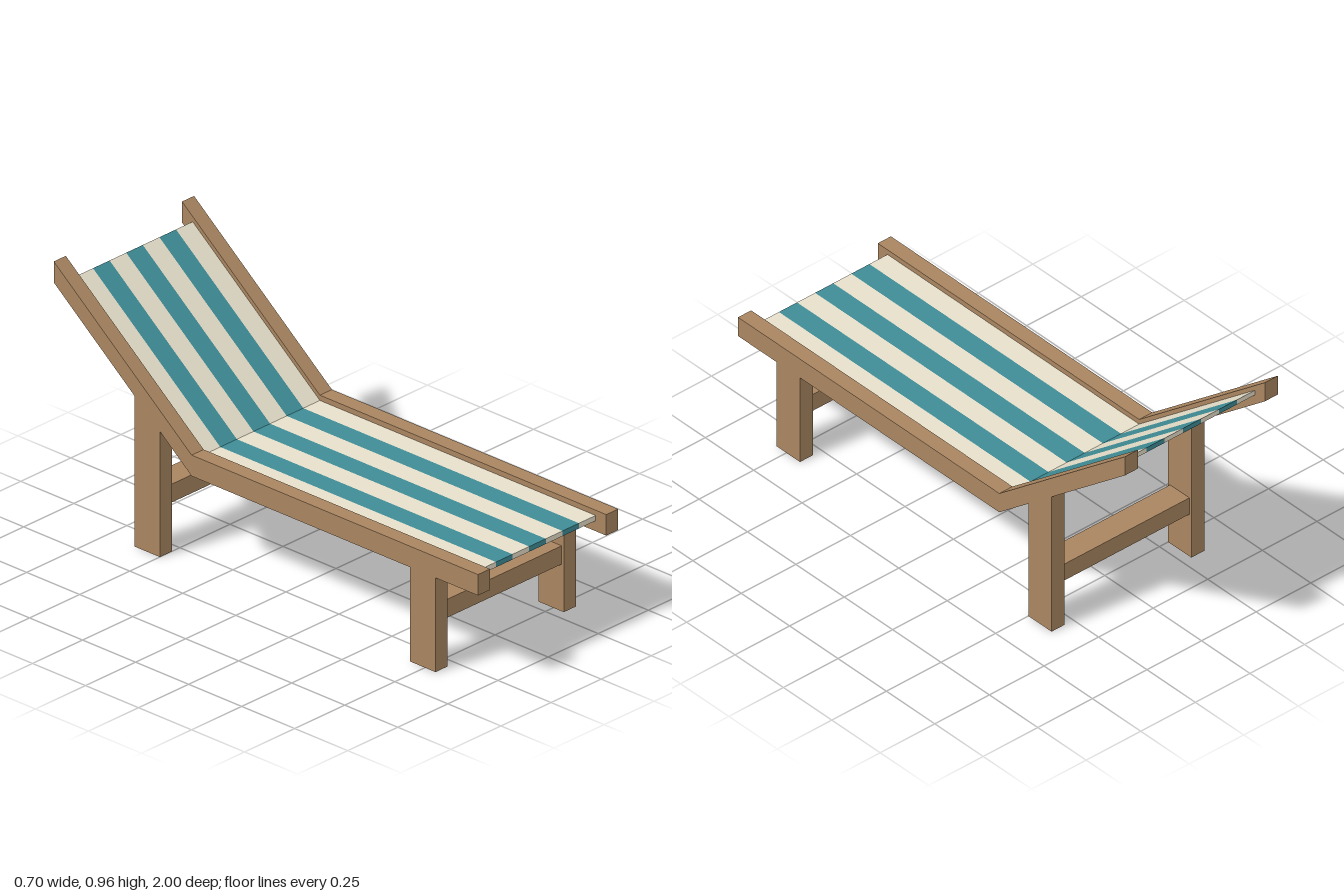
import * as THREE from 'three';

const wood = new THREE.MeshStandardMaterial({ color: 0xa98560 });
const cream = new THREE.MeshStandardMaterial({ color: 0xe6dfca });
const teal = new THREE.MeshStandardMaterial({ color: 0x3f8d97 });

const HALF_WIDTH = 0.35, RAIL = 0.06, BEND = -0.35, SLOPE = 0.8;
const rise = (z) => Math.max(0, BEND - z) * SLOPE; // height gained behind the bend

// Side outline of [z, y] points, extruded across x and centred on x
function sidePart(name, points, width, x, material) {
  const shape = new THREE.Shape(points.map(([z, y]) => new THREE.Vector2(z, y)));
  const geometry = new THREE.ExtrudeGeometry(shape, { depth: width, bevelEnabled: false });
  geometry.rotateY(-Math.PI / 2).translate(x + width / 2, 0, 0);
  const mesh = new THREE.Mesh(geometry, material);
  mesh.name = name;
  return mesh;
}

// Bent strip: flat in front of the bend, sloping up behind it
function bentOutline(front, back, low, high) {
  const zs = [front, BEND, back];
  return [
    ...zs.map((z) => [z, low + rise(z)]),
    ...zs.reverse().map((z) => [z, high + rise(z)]),
  ];
}

export function createModel() {
  const model = new THREE.Group();
  model.name = 'sunLounger';

  // Side rails and legs, mirrored left and right
  for (const [side, sign] of [['left', 1], ['right', -1]]) {
    const x = sign * (HALF_WIDTH - RAIL / 2);
    model.add(sidePart(`${side}Rail`, bentOutline(1, -1, 0.36, 0.44), RAIL, x, wood));
    for (const [end, z0, z1] of [['Front', 0.8, 0.68], ['Back', -0.5, -0.62]]) {
      const outline = [[z0, 0], [z1, 0], [z1, 0.36 + rise(z1)], [z0, 0.36 + rise(z0)]];
      model.add(sidePart(`${side}${end}Leg`, outline, RAIL, x, wood));
    }
  }

  // Crossbars between each pair of legs
  const inner = 2 * (HALF_WIDTH - RAIL);
  for (const [name, z] of [['frontCrossbar', 0.74], ['backCrossbar', -0.56]]) {
    const bar = new THREE.Mesh(new THREE.BoxGeometry(inner, 0.07, 0.1), wood);
    bar.position.set(0, 0.215, z);
    bar.name = name;
    model.add(bar);
  }

  // Striped fabric sling
  const fabric = new THREE.Group();
  fabric.name = 'fabric';
  const count = 7, stripe = inner / count;
  for (let i = 0; i < count; i++) {
    const x = (i - (count - 1) / 2) * stripe;
    fabric.add(sidePart(`stripe${i + 1}`, bentOutline(0.95, -0.95, 0.4, 0.42), stripe, x, i % 2 ? teal : cream));
  }
  model.add(fabric);
  return model;
}
